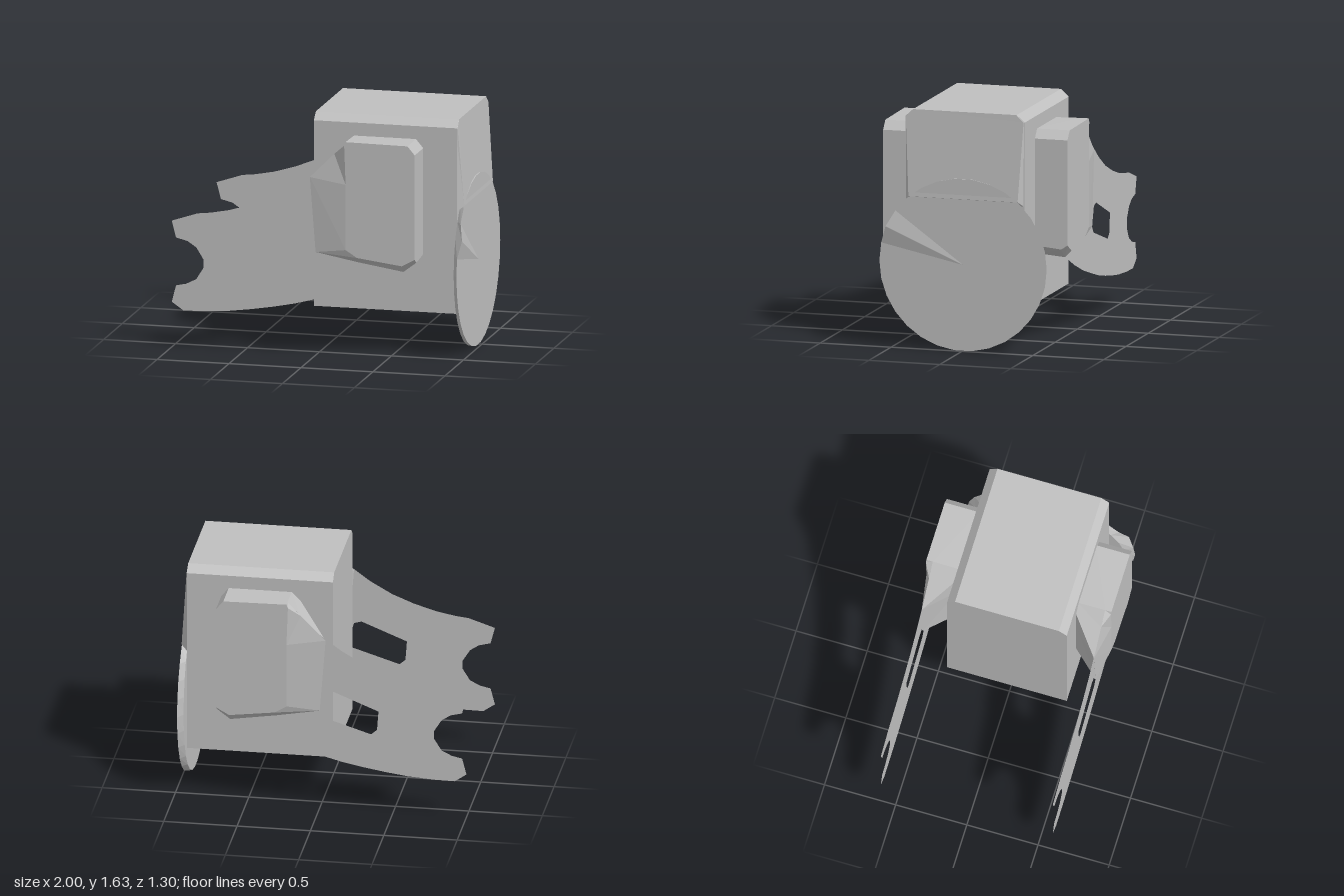
import * as THREE from 'three';

const grey = new THREE.MeshStandardMaterial({ color: 0xbfbfbf, flatShading: true });
grey.name = 'plain grey';
const greySheet = new THREE.MeshStandardMaterial({ color: 0xbfbfbf, flatShading: true, side: THREE.DoubleSide });
greySheet.name = 'plain grey sheet';

const vec2 = (p) => new THREE.Vector2(p[0], p[1]);
const atDepth = (points, z) => points.map(([x, y]) => [x, y, z]);

// Joins counter-clockwise rings along +z and closes both ends
function loft(rings) {
  const n = rings[0].length;
  const index = [];
  for (let r = 0; r < rings.length - 1; r++) {
    for (let i = 0; i < n; i++) {
      const j = (i + 1) % n;
      const a = r * n + i, b = r * n + j;
      index.push(a, b, b + n, a, b + n, a + n);
    }
  }
  const cap = (r, flip) => {
    for (const [a, b, c] of THREE.ShapeUtils.triangulateShape(rings[r].map(vec2), [])) {
      index.push(r * n + a, r * n + (flip ? c : b), r * n + (flip ? b : c));
    }
  };
  cap(0, true);
  cap(rings.length - 1, false);
  const geometry = new THREE.BufferGeometry();
  geometry.setAttribute('position', new THREE.Float32BufferAttribute(rings.flat(2), 3));
  geometry.setIndex(index);
  geometry.computeVertexNormals();
  return geometry;
}

function addMesh(parent, name, geometry, material = grey) {
  const mesh = new THREE.Mesh(geometry, material);
  mesh.name = name;
  parent.add(mesh);
  return mesh;
}

// Thin forked arm with a slot
function armSheet() {
  const shape = new THREE.Shape([
    [-1, 0.315], [-0.92, 0.26], [-0.78, 0.262], [-0.6, 0.275], [-0.45, 0.295], [-0.3, 0.32],
    [-0.15, 0.35], [0, 0.39], [0.2, 0.447], [0.4, 0.52], [0.6, 0.61], [0.66, 0.66], [0.66, 1.44],
    [0.2, 1.475], [0.13, 1.4], [0, 1.27], [-0.15, 1.16], [-0.3, 1.075], [-0.45, 1.015],
    [-0.6, 0.97], [-0.73, 0.945], [-0.82, 0.935], [-1, 0.875], [-0.97, 0.76], [-0.89, 0.74],
    [-0.83, 0.7], [-0.78, 0.62], [-0.78, 0.56], [-0.83, 0.48], [-0.9, 0.445], [-0.97, 0.43],
  ].map(vec2));
  shape.holes.push(new THREE.Path([
    [-0.4, 0.735], [-0.09, 0.86], [-0.04, 0.845], [0, 0.71], [-0.03, 0.665], [-0.35, 0.565], [-0.39, 0.6],
  ].map(vec2)));
  return new THREE.ShapeGeometry(shape).translate(0, 0, 0.604);
}

// Raised block that carries the arm and blends into it
function armMount() {
  const inner = [[0.17, 1.2], [0.17, 0.75], [0.3, 0.67], [0.62, 0.63], [0.7, 0.7],
    [0.7, 1.43], [0.65, 1.49], [0.22, 1.49], [0.17, 1.44]];
  const middle = [[-0.04, 1.23], [0, 0.715], [0.3, 0.66], [0.61, 0.612], [0.7, 0.68],
    [0.7, 1.43], [0.65, 1.49], [0.22, 1.495], [0.13, 1.4]];
  const outer = [[0.22, 1.2], [0.22, 0.75], [0.3, 0.7], [0.61, 0.66], [0.7, 0.71],
    [0.7, 1.43], [0.65, 1.49], [0.22, 1.495], [0.21, 1.47]];
  return loft([atDepth(inner, 0.41), atDepth(middle, 0.605), atDepth(outer, 0.65)]);
}

// Round end disc, tapering behind, with a slight bulge on its front rim
function endDisc() {
  const geometry = new THREE.CylinderGeometry(0.59, 0.59, 0.035, 30, 1);
  geometry.rotateZ(-Math.PI / 2).translate(0.9575, 0.59, 0);
  const p = geometry.attributes.position;
  for (let i = 0; i < p.count; i++) {
    const x = p.getX(i), y = p.getY(i), z = p.getZ(i);
    if (x < 0.95) p.setZ(i, z * 0.9);
    else if (z > 0.47 && y > 0.82 && y < 0.93) p.setX(i, 1);
  }
  geometry.computeVertexNormals();
  return geometry;
}

export function createModel() {
  const model = new THREE.Group();
  model.name = 'headset';

  // Main block with chamfered top edges
  const section = [[-0.42, 0.3], [0.42, 0.3], [0.42, 1.58], [0.365, 1.63], [-0.365, 1.63], [-0.42, 1.58]];
  addMesh(model, 'body', loft([atDepth(section, -0.06), atDepth(section, 0.935)]).rotateY(Math.PI / 2));

  // Sloping end panel above the disc
  const panelBase = [[-0.42, 1.0], [0.42, 1.0], [0.42, 1.58], [0.365, 1.63], [-0.365, 1.63], [-0.42, 1.58]];
  const panelFace = [[-0.385, 1.04, 0.977], [0.385, 1.04, 0.977], [0.415, 1.58, 0.938],
    [0.362, 1.63, 0.935], [-0.362, 1.63, 0.935], [-0.415, 1.58, 0.938]];
  addMesh(model, 'endPanel', loft([atDepth(panelBase, 0.925), panelFace]).rotateY(Math.PI / 2));

  addMesh(model, 'endDisc', endDisc());

  // Mirrored arms on the front and back faces
  for (const side of [1, -1]) {
    const arm = new THREE.Group();
    arm.name = side > 0 ? 'frontArm' : 'backArm';
    addMesh(arm, 'armSheet', armSheet(), greySheet);
    addMesh(arm, 'armMount', armMount());
    arm.scale.z = side;
    model.add(arm);
  }
  return model;
}
